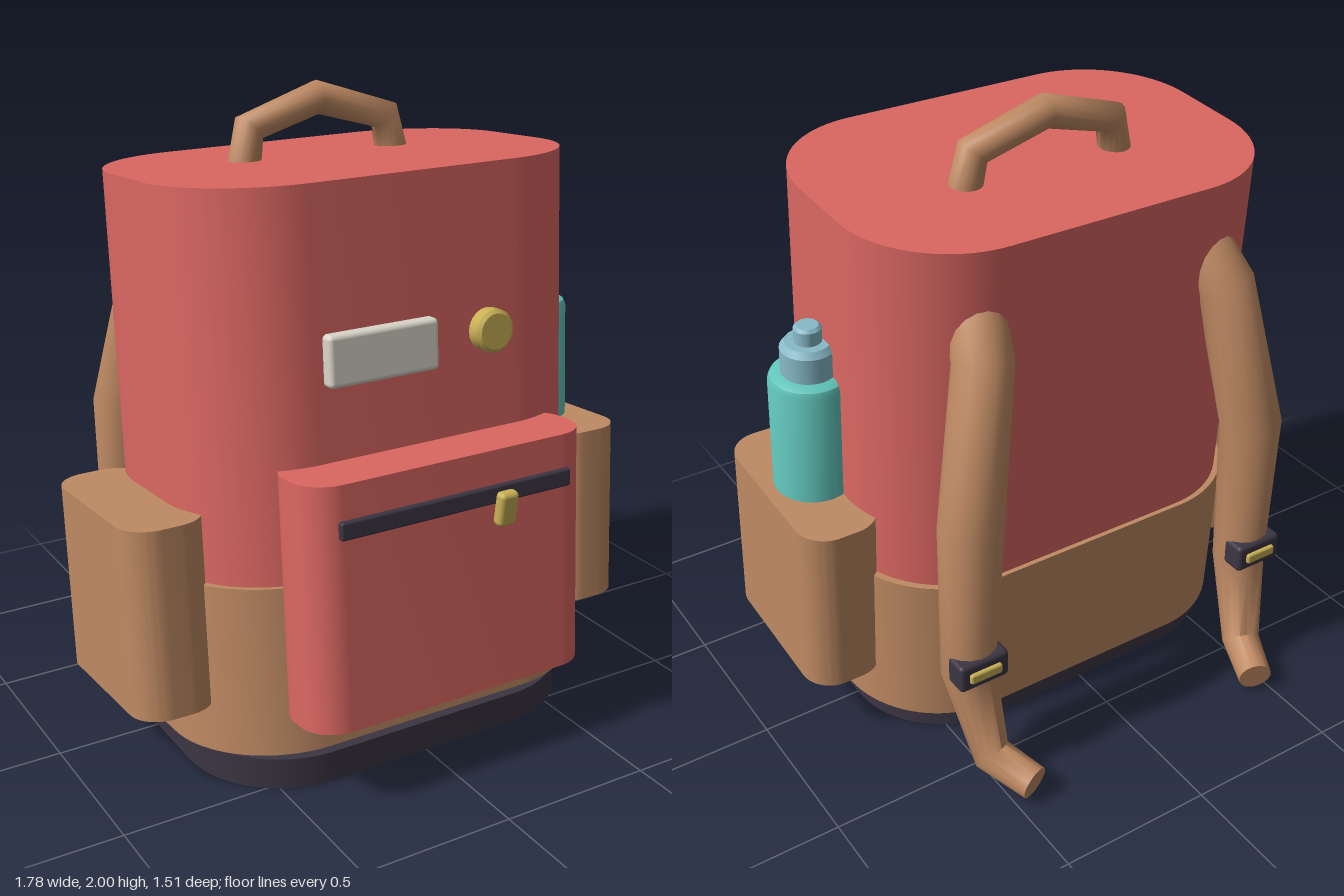
import * as THREE from 'three';
import { toCreasedNormals } from 'three/addons/utils/BufferGeometryUtils.js';
import { RoundedBoxGeometry } from 'three/addons/geometries/RoundedBoxGeometry.js';

const paint = (name, color) => {
  const m = new THREE.MeshStandardMaterial({ color });
  m.name = name;
  return m;
};

function add(parent, name, geometry, material, x = 0, y = 0, z = 0) {
  const mesh = new THREE.Mesh(geometry, material);
  mesh.name = name;
  mesh.position.set(x, y, z);
  parent.add(mesh);
  return mesh;
}

// Upright block with rounded vertical corners, standing on its origin
function slab(w, h, d, r) {
  const a = w / 2 - r, b = d / 2 - r;
  const s = new THREE.Shape();
  s.absarc(a, b, r, 0, Math.PI / 2);
  s.absarc(-a, b, r, Math.PI / 2, Math.PI);
  s.absarc(-a, -b, r, Math.PI, Math.PI * 1.5);
  s.absarc(a, -b, r, Math.PI * 1.5, Math.PI * 2);
  const g = new THREE.ExtrudeGeometry(s, { depth: h, bevelEnabled: false, curveSegments: 10 });
  g.rotateX(-Math.PI / 2);
  return toCreasedNormals(g, 0.6);
}

// Turned solid from [radius, height] pairs, bottom to top
function turned(points, sides = 28) {
  const g = new THREE.LatheGeometry(points.map(p => new THREE.Vector2(...p)), sides);
  return toCreasedNormals(g, 0.6);
}

// Path with straight runs and mitred joints, one ring per point
class Polyline extends THREE.Curve {
  constructor(points) {
    super();
    this.points = points;
  }
  getPointAt(u, target = new THREE.Vector3()) {
    return target.copy(this.points[Math.round(u * (this.points.length - 1))]);
  }
  getTangentAt(u, target = new THREE.Vector3()) {
    const p = this.points, n = p.length;
    const i = Math.min(Math.max(Math.round(u * (n - 1)), 1), n - 2);
    const before = p[i].clone().sub(p[i - 1]).normalize();
    const after = p[i + 1].clone().sub(p[i]).normalize();
    return target.copy(before.add(after).normalize());
  }
}

// Capped bent tube from [x, y, z, radius] stations
function bentTube(stations, sides = 16) {
  const first = stations[0], last = stations[stations.length - 1];
  const all = [[...first.slice(0, 3), 0], ...stations, [...last.slice(0, 3), 0]];
  const centres = all.map(s => new THREE.Vector3(s[0], s[1], s[2]));
  const g = new THREE.TubeGeometry(new Polyline(centres), all.length - 1, 1, sides);
  const pos = g.attributes.position, v = new THREE.Vector3();
  for (let i = 0; i < pos.count; i++) {
    const ring = Math.floor(i / (sides + 1));
    v.fromBufferAttribute(pos, i).sub(centres[ring]).multiplyScalar(all[ring][3]).add(centres[ring]);
    pos.setXYZ(i, v.x, v.y, v.z);
  }
  return toCreasedNormals(g, 1.2);
}

export function createModel() {
  const red = paint('red fabric', 0xdb6762);
  const brown = paint('tan leather', 0xbf8a63);
  const dark = paint('dark trim', 0x3b3542);
  const gold = paint('brass', 0xc9b056);
  const teal = paint('teal bottle', 0x61c5bb);
  const blue = paint('pale blue cap', 0x88bac8);
  const cream = paint('cream patch', 0xdad5c9);

  const model = new THREE.Group();
  model.name = 'backpack';

  // Flat base on the ground
  add(model, 'basePad', slab(1.33, 0.1, 0.905, 0.33), dark, 0, 0, 0.112);

  // Everything in this group leans slightly backwards
  const pack = new THREE.Group();
  pack.name = 'leaningPack';
  pack.rotation.x = -0.07;
  model.add(pack);

  add(pack, 'mainBody', slab(1.37, 1.48, 0.913, 0.34), red, 0, 0.304, 0.12);
  add(pack, 'lowerPanel', slab(1.41, 0.533, 0.938, 0.35), brown, 0, 0.093, 0.118);

  // Front pocket with zip
  add(pack, 'frontPocket', slab(0.98, 0.754, 0.26, 0.11), red, 0, 0.223, 0.63);
  add(pack, 'zip', new RoundedBoxGeometry(0.8, 0.055, 0.04, 2, 0.008), dark, 0, 0.844, 0.757);
  const pull = add(pack, 'zipPull', new RoundedBoxGeometry(0.065, 0.11, 0.04, 3, 0.015), gold, 0.152, 0.802, 0.786);
  pull.rotation.x = 0.2;

  // Patch and round badge
  add(pack, 'patch', new RoundedBoxGeometry(0.37, 0.155, 0.06, 3, 0.015), cream, -0.14, 1.28, 0.585);
  const badge = turned([[0, -0.03], [0.055, -0.03], [0.066, -0.02], [0.066, 0.02], [0.055, 0.03], [0, 0.03]], 20);
  badge.rotateX(Math.PI / 2);
  add(pack, 'badge', badge, gold, 0.235, 1.29, 0.603);

  // Side pockets
  for (const side of [-1, 1]) {
    add(pack, side > 0 ? 'leftPocket' : 'rightPocket', slab(0.26, 0.591, 0.603, 0.1), brown, side * 0.76, 0.246, 0.138);
  }

  // Bottle in the left pocket
  const bottle = new THREE.Group();
  bottle.name = 'bottle';
  bottle.position.set(0.725, 0, 0.137);
  pack.add(bottle);
  add(bottle, 'bottleBody', turned([[0, 0.4], [0.125, 0.4], [0.125, 1.215], [0.118, 1.232], [0.1, 1.242], [0, 1.242]]), teal);
  add(bottle, 'bottleCap', turned([[0, 1.23], [0.085, 1.23], [0.085, 1.325], [0.07, 1.344], [0, 1.344]]), blue);
  add(bottle, 'bottleSpout', turned([[0, 1.33], [0.042, 1.33], [0.042, 1.388], [0.033, 1.397], [0, 1.397]]), blue);

  // Carrying handle
  const hr = 0.052;
  add(pack, 'handle', bentTube([
    [-0.265, 1.76, 0.03, hr], [-0.24, 1.88, 0.03, hr], [0, 1.953, 0.028, hr],
    [0.24, 1.88, 0.03, hr], [0.265, 1.76, 0.03, hr],
  ]), brown);

  // Shoulder straps with buckles
  for (const side of [-1, 1]) {
    const strap = new THREE.Group();
    strap.name = side > 0 ? 'leftStrap' : 'rightStrap';
    model.add(strap);
    const path = [
      [0.4, 1.53, -0.36, 0.088], [0.43, 1.42, -0.45, 0.09], [0.52, 0.93, -0.515, 0.098],
      [0.53, 0.4, -0.5, 0.085], [0.5, 0.1, -0.58, 0.062], [0.44, 0.067, -0.73, 0.055],
    ].map(([x, ...rest]) => [side * x, ...rest]);
    add(strap, 'strapWebbing', bentTube(path), brown);
    add(strap, 'buckle', new RoundedBoxGeometry(0.17, 0.095, 0.08, 3, 0.015), dark, side * 0.53, 0.458, -0.56);
    add(strap, 'buckleBar', new RoundedBoxGeometry(0.11, 0.035, 0.03, 2, 0.008), gold, side * 0.53, 0.458, -0.597);
  }
  return model;
}
